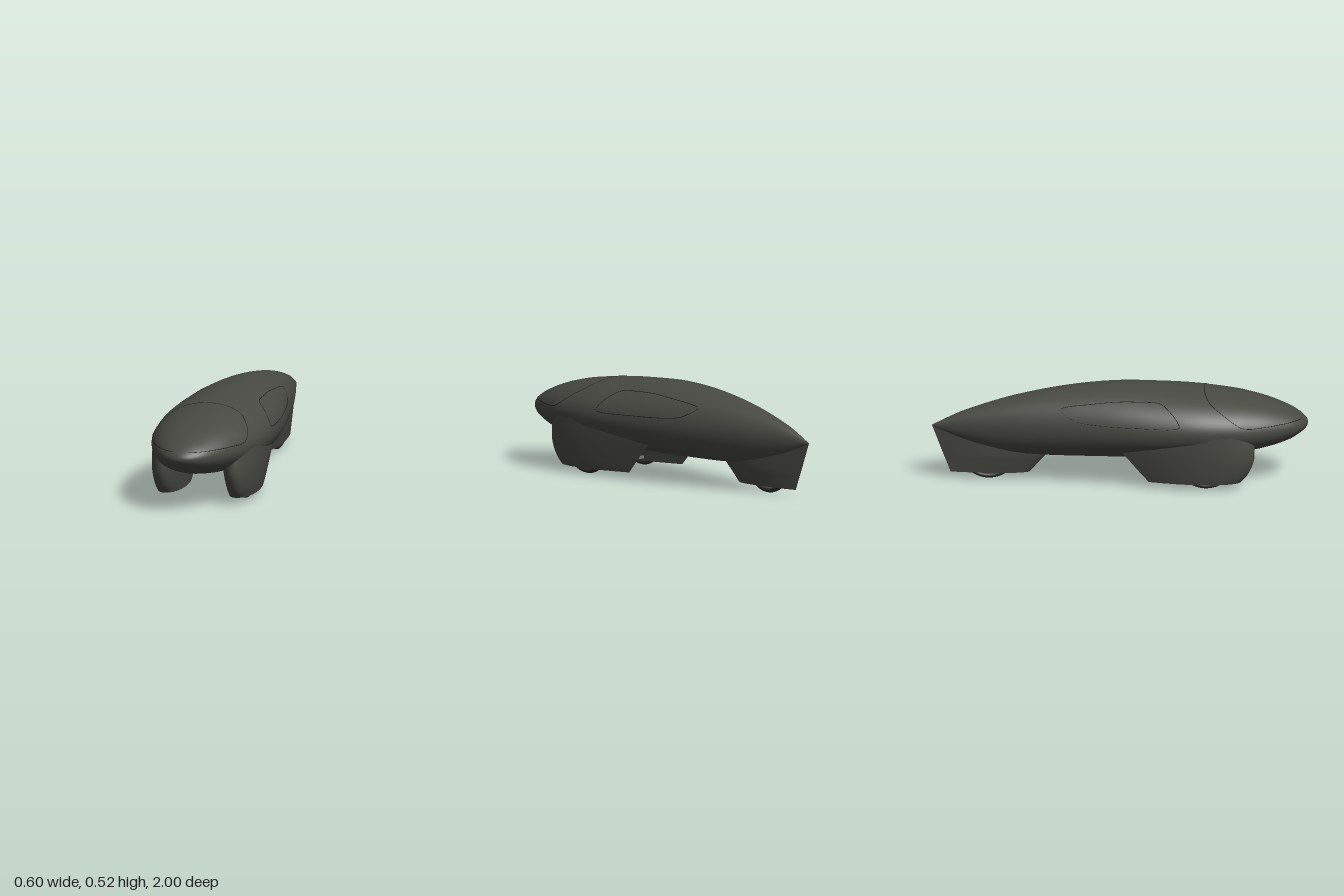
import * as THREE from 'three';

const V = (x, y, z) => new THREE.Vector3(x, y, z);
const mat = (name, color, side = THREE.FrontSide) => {
  const m = new THREE.MeshStandardMaterial({ color, side });
  m.name = name;
  return m;
};

// Smooth path through rows of numbers: returns u -> interpolated row
function rowCurve(rows) {
  const curve = (k) => new THREE.CatmullRomCurve3(
    rows.map((r) => V(r[k], r[k + 1] ?? 0, r[k + 2] ?? 0)), false, 'catmullrom', 0.5);
  const a = curve(0), b = curve(3);
  return (u) => [...a.getPoint(u).toArray(), ...b.getPoint(u).toArray()];
}

// Surface through rings of points; closed rings are joined smoothly
function loft(rings, closed) {
  const n = rings[0].length, index = [];
  for (let i = 0; i < rings.length - 1; i++) {
    for (let j = 0; j < (closed ? n : n - 1); j++) {
      const k = (j + 1) % n;
      const a = i * n + j, b = i * n + k, c = a + n, d = b + n;
      index.push(a, c, b, b, c, d);
    }
  }
  const geo = new THREE.BufferGeometry().setFromPoints(rings.flat());
  geo.setIndex(index);
  geo.computeVertexNormals();
  return geo;
}

// Body stations: z, half width, top, bottom, height of widest line
const bodyAt = rowCurve([
  [1, 0.001, 0.305, 0.303, 0.304], [0.995, 0.034, 0.32, 0.288, 0.304],
  [0.98, 0.068, 0.337, 0.27, 0.304], [0.95, 0.107, 0.36, 0.248, 0.305],
  [0.9, 0.15, 0.388, 0.22, 0.306], [0.8, 0.208, 0.428, 0.188, 0.308],
  [0.7, 0.248, 0.456, 0.168, 0.31], [0.6, 0.275, 0.476, 0.154, 0.313],
  [0.4, 0.3, 0.502, 0.141, 0.318], [0.2, 0.29, 0.517, 0.135, 0.32],
  [0, 0.262, 0.525, 0.132, 0.32], [-0.2, 0.22, 0.515, 0.132, 0.318],
  [-0.4, 0.173, 0.488, 0.135, 0.314], [-0.6, 0.122, 0.446, 0.15, 0.308],
  [-0.8, 0.064, 0.386, 0.2, 0.301], [-0.9, 0.033, 0.345, 0.243, 0.298],
  [-1, 0.001, 0.297, 0.293, 0.295],
]);

function bodyGeometry() {
  const rings = [];
  for (let i = 0; i <= 96; i++) {
    const [z, w, top, bottom, mid] = bodyAt(i / 96);
    rings.push(Array.from({ length: 64 }, (_, j) => {
      const t = (j / 64) * Math.PI * 2, s = Math.sin(t);
      return V(w * Math.cos(t), mid + s * (s > 0 ? top - mid : mid - bottom), z);
    }));
  }
  return loft(rings, true);
}

// Body station found by z
function stationAt(z) {
  let lo = 0, hi = 1;
  for (let i = 0; i < 30; i++) {
    const u = (lo + hi) / 2;
    if (bodyAt(u)[0] > z) lo = u; else hi = u;
  }
  return bodyAt(lo);
}

// Point on the upper skin at z, s = relative height from widest line (0) to roof (1)
function skin(z, s, side = 1) {
  const [, w, top, , mid] = stationAt(z);
  return V(side * w * Math.sqrt(Math.max(0, 1 - s * s)), mid + s * (top - mid), z);
}

function seam(points, count) {
  return new THREE.TubeGeometry(new THREE.CatmullRomCurve3(points, true), count, 0.0018, 5, true);
}

// Open-bottomed streamlined fairing; rows: y, front z, back z, x min, x max
function fairingGeometry(rows) {
  const at = rowCurve(rows), rings = [], half = 28;
  for (let i = 0; i <= 20; i++) {
    const [y, front, back, x0, x1] = at(i / 20);
    const ring = [];
    for (let j = -half; j <= half; j++) {
      const t = (j / half) ** 2;
      const f = Math.sqrt(t) * (1 - t) / 0.385 * (j < 0 ? 1 : -1);
      ring.push(V((x0 + x1) / 2 + f * (x1 - x0) / 2, y, front + (back - front) * t));
    }
    rings.push(ring);
  }
  return loft(rings, false);
}

export function createModel() {
  const model = new THREE.Group();
  const shell = mat('dark shell', 0x484942, THREE.DoubleSide);
  const line = mat('seam black', 0x1c1c1a);
  const rubber = mat('tyre rubber', 0x2b2b29);
  const red = mat('rim red', 0xd0141c);
  const metal = mat('metal grey', 0x7a7a76);
  const add = (parent, name, geo, material) => {
    const m = new THREE.Mesh(geo, material);
    m.name = name;
    parent.add(m);
    return m;
  };

  add(model, 'body', bodyGeometry(), shell);

  // Windscreen outline: straight lower edge round the nose, arched rear edge
  const edge = [0.964, 0.94, 0.9, 0.85, 0.8, 0.74, 0.68].map((z) => {
    const [, , top, , mid] = stationAt(z);
    return [z, Math.min(1, (0.341 - mid) / (top - mid))];
  });
  edge.push([0.635, 0.26], [0.58, 0.45], [0.52, 0.66], [0.48, 0.79], [0.455, 0.93]);
  add(model, 'windscreenSeam', seam([
    ...edge.map(([z, s]) => skin(z, s, 1)), skin(0.447, 1),
    ...edge.reverse().map(([z, s]) => skin(z, s, -1)),
  ], 160), line);

  // Side window outlines
  const windowEdge = [
    [0.31, 0.24], [0.3, 0.38], [0.26, 0.6], [0.21, 0.75], [0.1, 0.76], [0, 0.75], [-0.15, 0.7],
    [-0.3, 0.64], [-0.32, 0.6], [-0.26, 0.35], [-0.2, 0.25], [-0.1, 0.2], [0.1, 0.18], [0.28, 0.19],
  ];
  for (const side of [1, -1]) {
    add(model, side > 0 ? 'leftWindowSeam' : 'rightWindowSeam',
      seam(windowEdge.map(([z, s]) => skin(z, s, side)), 120), line);
  }

  // Wheel: tyre, rim, spokes and hub
  function wheel(name, x, z, rimMaterial) {
    const g = new THREE.Group();
    g.name = name;
    add(g, 'tyre', new THREE.TorusGeometry(0.1475, 0.0125, 12, 56), rubber);
    add(g, 'rim', new THREE.TorusGeometry(0.131, 0.0095, 8, 56), rimMaterial);
    add(g, 'hub', new THREE.CylinderGeometry(0.018, 0.018, 0.04, 16).rotateX(Math.PI / 2), metal);
    for (let i = 0; i < 20; i++) {
      const spoke = new THREE.CylinderGeometry(0.0018, 0.0018, 0.115, 5);
      spoke.translate(0, 0.07, 0).rotateZ((i / 20) * Math.PI * 2);
      add(g, 'spoke', spoke, metal);
    }
    g.rotation.y = Math.PI / 2;
    g.position.set(x, 0.16, z);
    model.add(g);
  }

  // Front fairings with their wheels
  const frontRows = [
    [0.035, 0.64, 0.15, 0.135, 0.265], [0.08, 0.678, 0.11, 0.128, 0.275],
    [0.15, 0.708, 0.05, 0.117, 0.285], [0.22, 0.712, -0.01, 0.107, 0.29],
    [0.3, 0.7, -0.06, 0.1, 0.291],
  ];
  for (const side of [1, -1]) {
    const rows = frontRows.map(([y, f, b, x0, x1]) =>
      side > 0 ? [y, f, b, x0, x1] : [y, f, b, -x1, -x0]);
    const label = side > 0 ? 'left' : 'right';
    add(model, label + 'FrontFairing', fairingGeometry(rows), shell);
    wheel(label + 'FrontWheel', side * 0.206, 0.455, red);
  }

  // Rear fairing with its wheel
  add(model, 'rearFairing', fairingGeometry([
    [0.035, -0.48, -0.9, -0.033, 0.033], [0.09, -0.43, -0.921, -0.046, 0.046],
    [0.14, -0.385, -0.941, -0.056, 0.056], [0.22, -0.34, -0.971, -0.06, 0.06],
    [0.295, -0.34, -0.999, -0.06, 0.06],
  ]), shell);
  wheel('rearWheel', 0, -0.695, metal);

  // Small bracket on the inner face of the left fairing
  const bracket = add(model, 'bracket', new THREE.BoxGeometry(0.09, 0.014, 0.05), metal);
  bracket.position.set(0.14, 0.107, 0.17);

  return model;
}
